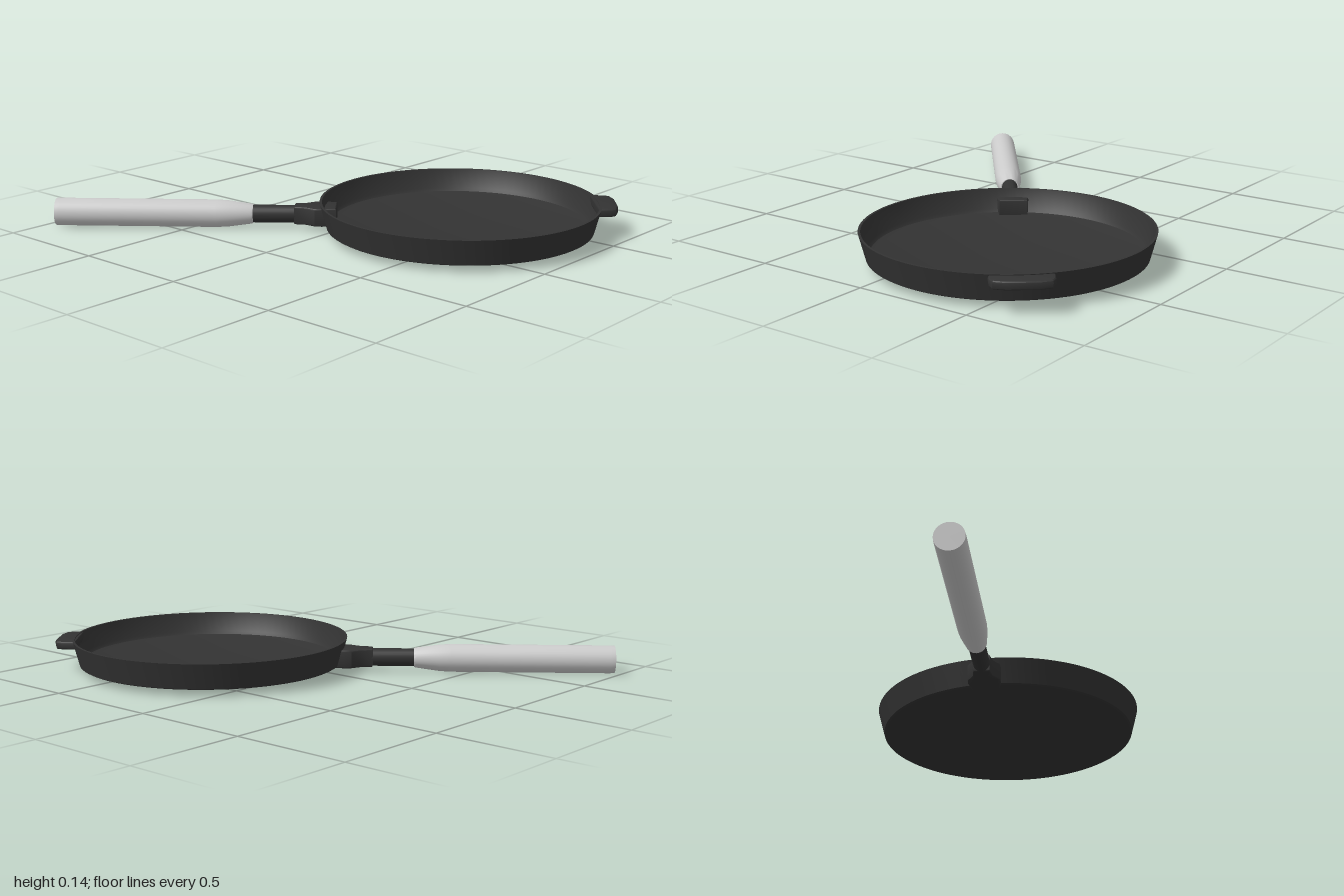
import * as THREE from 'three';
import { toCreasedNormals } from 'three/addons/utils/BufferGeometryUtils.js';

const grey = new THREE.MeshStandardMaterial({ color: 0xcccccc });
const iron = new THREE.MeshStandardMaterial({ color: 0x333333 });

function part(name, geometry, material, crease = 0.5) {
  const mesh = new THREE.Mesh(toCreasedNormals(geometry, crease), material);
  mesh.name = name;
  return mesh;
}

function lathe(profile, segments) {
  return new THREE.LatheGeometry(profile.map(([r, y]) => new THREE.Vector2(r, y)), segments);
}

// Flat plate from an outline in (x, z), spanning y0 to y1
function plate(outline, y0, y1, bevel) {
  const shape = new THREE.Shape(outline.map(([x, z]) => new THREE.Vector2(x, z)));
  const geometry = new THREE.ExtrudeGeometry(shape, {
    depth: y1 - y0 - 2 * bevel, bevelThickness: bevel, bevelSize: bevel, bevelOffset: -bevel, bevelSegments: 3,
  });
  return geometry.rotateX(Math.PI / 2).translate(0, y1 - bevel, 0);
}

// Mirrors one side of an outline across x = 0
function mirrored(side) {
  return [...side, ...side.map(([x, z]) => [-x, z]).reverse()];
}

export function createModel() {
  const model = new THREE.Group();
  model.name = 'fryingPan';

  // Shallow bowl with flared wall
  const pan = part('pan', lathe([
    [0, 0.03], [0.553, 0.03], [0.56, 0.034], [0.588, 0.14],
    [0.578, 0.14], [0.556, 0.056], [0.545, 0.044], [0.525, 0.038], [0, 0.036],
  ], 96), iron);
  pan.position.set(0.247, 0, 0.405);
  model.add(pan);

  // Everything on the handle axis, running from the grip end along local +z
  const axis = new THREE.Group();
  axis.name = 'handleAssembly';
  axis.position.set(-0.795, 0, -0.963);
  axis.rotation.y = 0.677;
  model.add(axis);

  // Round grip tapering towards the pan
  const grip = lathe([
    [0, 0], [0.058, 0], [0.059, 0.02], [0.059, 0.69],
    [0.056, 0.74], [0.043, 0.835], [0.04, 0.845], [0, 0.845],
  ], 32).rotateX(Math.PI / 2).translate(0, 0.063, 0);
  axis.add(part('grip', grip, grey, 0.7));

  // Oval neck
  const neck = lathe([[0, 0.82], [0.038, 0.82], [0.038, 1.13], [0, 1.13]], 24)
    .rotateX(Math.PI / 2).scale(0.92, 1, 1).translate(0, 0.064, 0);
  axis.add(part('neck', neck, iron));

  // Flared bracket gripping the wall
  const bracket = plate(mirrored([[0.034, 1.02], [0.042, 1.07], [0.068, 1.11], [0.07, 1.14], [0.06, 1.2]]), 0.026, 0.104, 0.008);
  axis.add(part('bracket', bracket, iron));

  // Small helper grip on the far side
  const helper = plate(mirrored([[0.122, 2.2], [0.12, 2.335], [0.108, 2.36], [0.06, 2.374]]), 0.102, 0.137, 0.01);
  // Trim the inner end to the curve of the pan wall
  const p = helper.attributes.position;
  for (let i = 0; i < p.count; i++) {
    if (p.getZ(i) < 2.25) p.setZ(i, 1.719 + Math.sqrt(0.577 ** 2 - (p.getX(i) + 0.025) ** 2));
  }
  helper.computeVertexNormals();
  helper.translate(-0.02, 0, 0);
  axis.add(part('helperGrip', helper, iron));

  return model;
}
